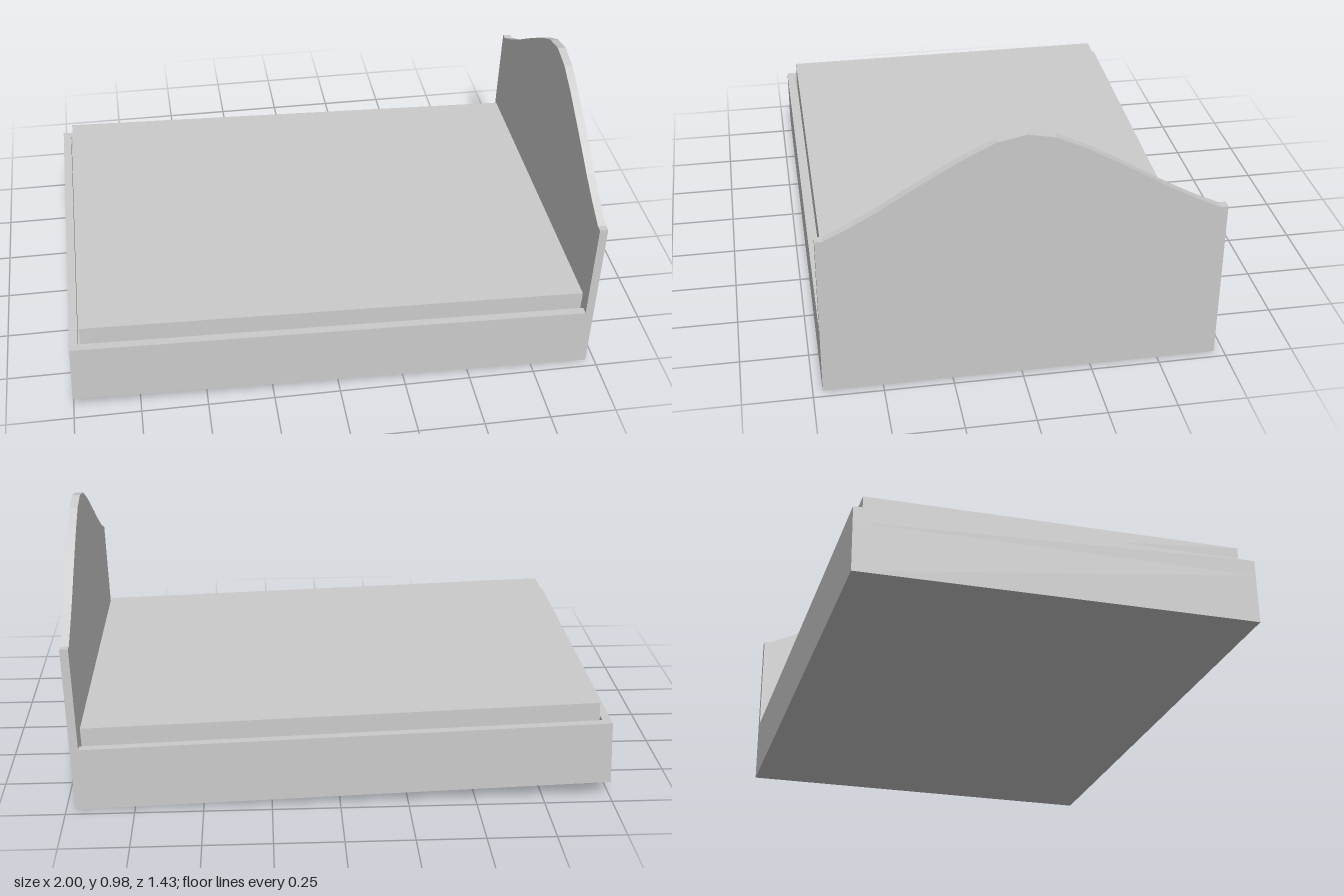
import * as THREE from 'three';

const TILT = -0.0315;     // the whole bed leans gently towards the head end
const LENGTH = 1.967;
const HALF_WIDTH = 0.715;
const FRAME_HEIGHT = 0.238;
const BOARD = 0.031;      // headboard thickness
const RIM = 0.032;        // frame rail thickness
const GAP = 0.008;        // groove around the mattress
const FLOOR = 0.18;       // top of the slab under the mattress

export function createModel() {
  const model = new THREE.Group();
  const material = new THREE.MeshStandardMaterial({ color: 0xcccccc });

  // Local origin is the lower outer edge of the headboard
  const bed = new THREE.Group();
  bed.name = 'bed';
  bed.position.x = 0.967;
  bed.rotation.z = TILT;
  model.add(bed);

  const addBox = (name, x0, x1, y0, y1, z0, z1) => {
    const mesh = new THREE.Mesh(new THREE.BoxGeometry(x1 - x0, y1 - y0, z1 - z0), material);
    mesh.name = name;
    mesh.position.set((x0 + x1) / 2, (y0 + y1) / 2, (z0 + z1) / 2);
    bed.add(mesh);
  };

  // Frame: slab with rails along the foot and both sides
  const foot = -LENGTH;
  const head = -BOARD;
  const inner = HALF_WIDTH - RIM;
  addBox('frameBase', foot, head, 0, FLOOR, -HALF_WIDTH, HALF_WIDTH);
  addBox('footRail', foot, foot + RIM, FLOOR, FRAME_HEIGHT, -HALF_WIDTH, HALF_WIDTH);
  addBox('leftSideRail', foot + RIM, head, FLOOR, FRAME_HEIGHT, inner, HALF_WIDTH);
  addBox('rightSideRail', foot + RIM, head, FLOOR, FRAME_HEIGHT, -HALF_WIDTH, -inner);

  // Mattress set into the frame
  const half = inner - GAP;
  addBox('mattress', foot + RIM + GAP, head - GAP, FLOOR, 0.304, -half, half);

  // Headboard: straight sides, small shoulders and a swept peak
  const sweep = [[0.715, 0.63], [0.688, 0.63], [0.59, 0.679], [0.5, 0.73], [0.4, 0.793],
    [0.3, 0.854], [0.2, 0.912], [0.1, 0.961]];
  const outline = [
    [HALF_WIDTH, 0], ...sweep, [0, 0.981],
    ...sweep.map(([z, y]) => [-z, y]).reverse(), [-HALF_WIDTH, 0],
  ];
  const shape = new THREE.Shape(outline.map(([z, y]) => new THREE.Vector2(z, y)));
  const boardGeometry = new THREE.ExtrudeGeometry(shape, { depth: BOARD, bevelEnabled: false });
  boardGeometry.rotateY(Math.PI / 2);
  const headboard = new THREE.Mesh(boardGeometry, material);
  headboard.name = 'headboard';
  headboard.position.x = -BOARD;
  bed.add(headboard);

  return model;
}
